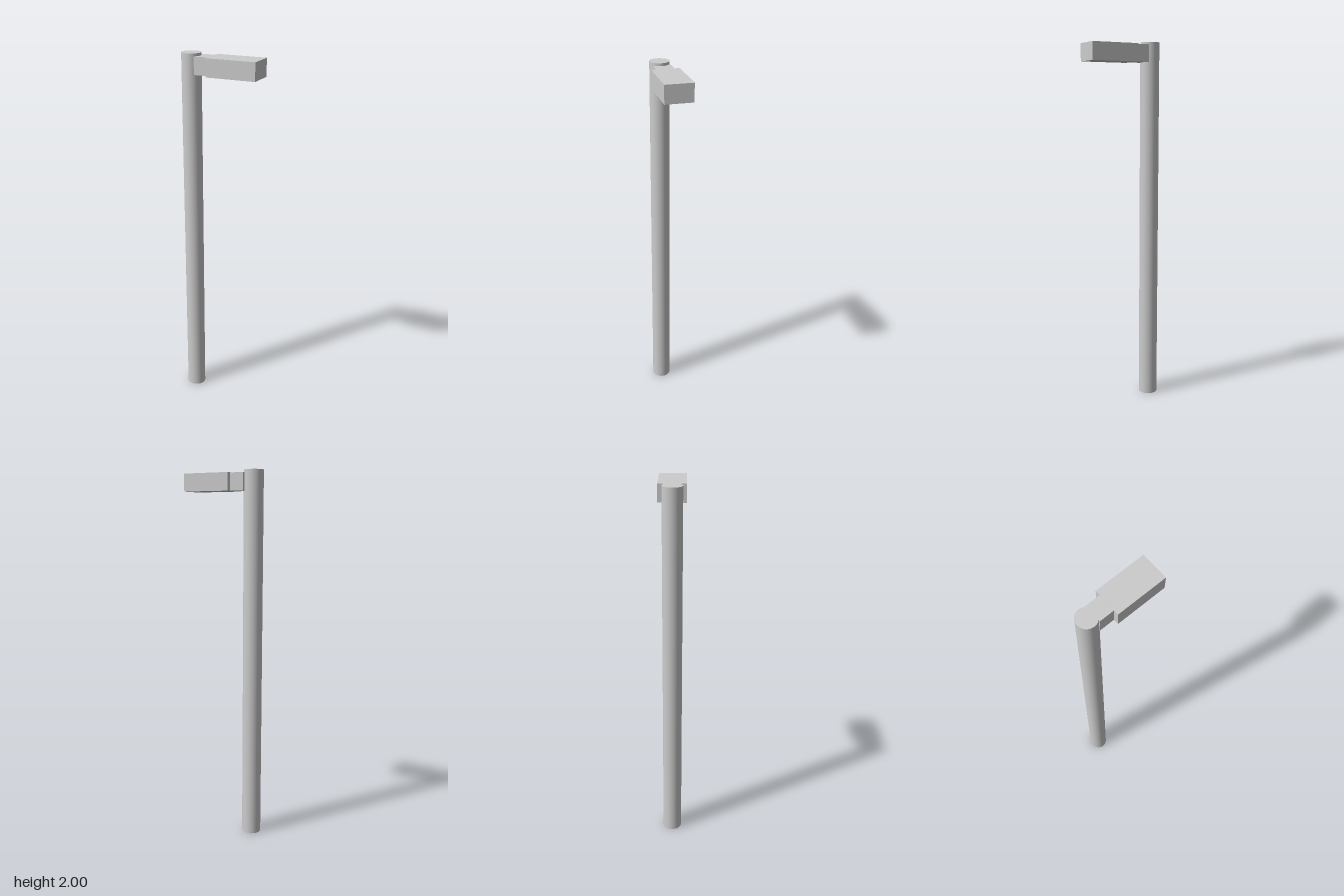
import * as THREE from 'three';

export function createModel() {
  const model = new THREE.Group();
  const material = new THREE.MeshStandardMaterial({ color: 0xcccccc });

  function add(name, geometry, x, y, z) {
    const mesh = new THREE.Mesh(geometry, material);
    mesh.name = name;
    mesh.position.set(x, y, z);
    model.add(mesh);
  }

  // Tall round post
  add('pole', new THREE.CylinderGeometry(0.052, 0.052, 2, 48), -0.165, 1, 0.004);

  // Short bracket joining the post to the lamp
  add('bracket', new THREE.BoxGeometry(0.085, 0.092, 0.094), -0.0875, 1.94, 0);

  // Box lamp housing
  add('lampHead', new THREE.BoxGeometry(0.269, 0.094, 0.146), 0.0825, 1.94, 0);

  return model;
}
